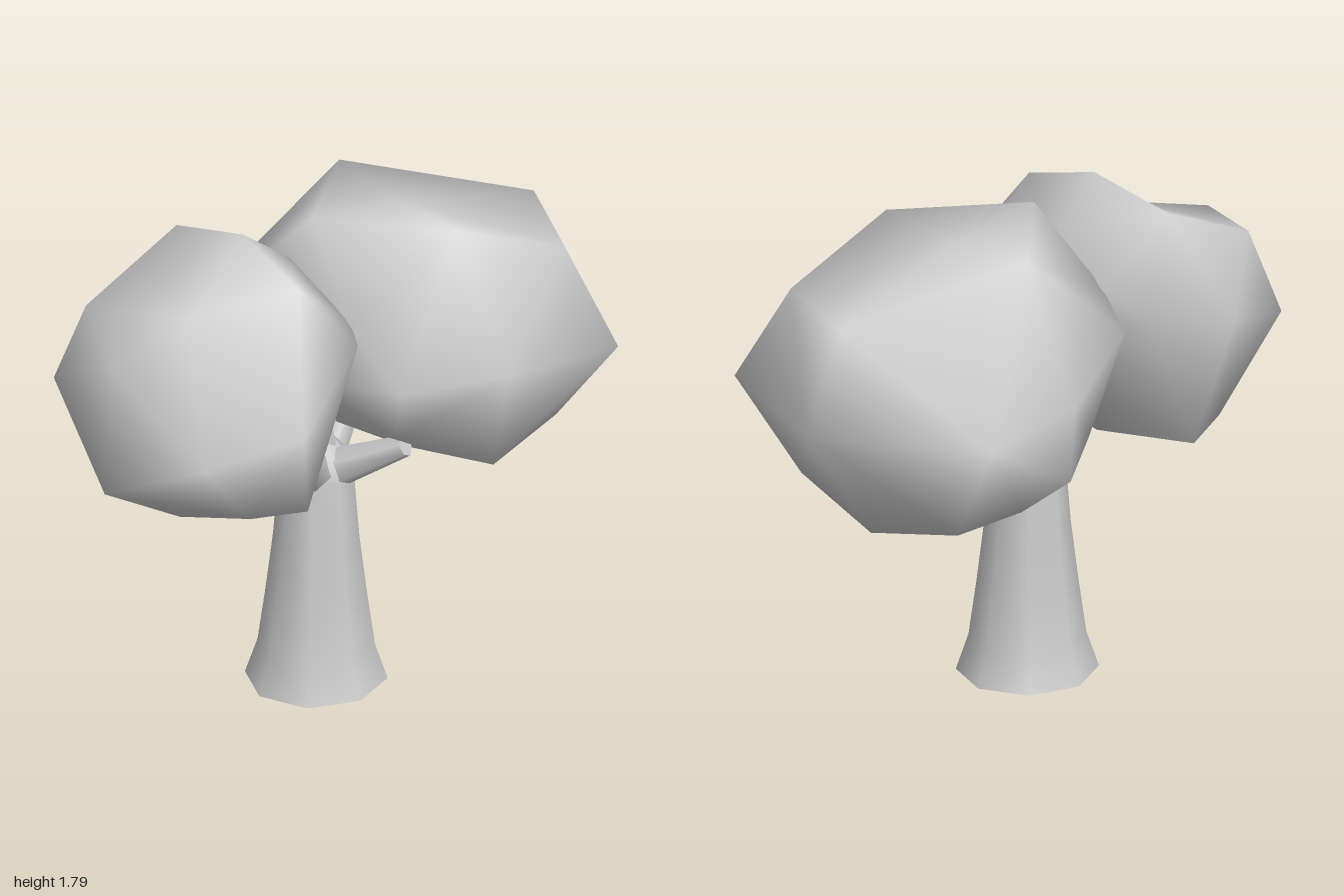
import * as THREE from 'three';
import { mergeVertices } from 'three/addons/utils/BufferGeometryUtils.js';
import { ConvexGeometry } from 'three/addons/geometries/ConvexGeometry.js';

const material = new THREE.MeshStandardMaterial({ color: 0xcccccc, side: THREE.DoubleSide });
const vec = (p) => new THREE.Vector3(...p);

// Low-poly foliage blob: corners are joined up as seen from the centre, so it
// may have dents; the corners share smooth normals
function crown(name, centre, radii, corners) {
  const points = corners.map(vec);
  const directions = points.map((p) => p.clone().sub(vec(centre)).divide(vec(radii)).normalize());
  let geometry = new ConvexGeometry(directions);
  geometry.deleteAttribute('normal');
  const position = geometry.attributes.position;
  const v = new THREE.Vector3();
  for (let i = 0; i < position.count; i++) {
    v.fromBufferAttribute(position, i);
    const corner = points[directions.findIndex((d) => d.distanceTo(v) < 1e-4)];
    position.setXYZ(i, corner.x, corner.y, corner.z);
  }
  geometry = mergeVertices(geometry, 1e-4);
  geometry.computeVertexNormals();
  const mesh = new THREE.Mesh(geometry, material);
  mesh.name = name;
  return mesh;
}

// Tapered six-sided limb between two points
function branch(name, from, to, r0, r1) {
  const a = vec(from), b = vec(to), dir = b.clone().sub(a);
  const mesh = new THREE.Mesh(new THREE.CylinderGeometry(r1, r0, dir.length(), 6), material);
  mesh.position.copy(a).add(b).multiplyScalar(0.5);
  mesh.quaternion.setFromUnitVectors(new THREE.Vector3(0, 1, 0), dir.normalize());
  mesh.name = name;
  return mesh;
}

export function createModel() {
  const tree = new THREE.Group();
  tree.name = 'tree';

  // Flared trunk, open underneath
  const profile = [[0.243, 0], [0.2, 0.13], [0.173, 0.33], [0.147, 0.55], [0.128, 0.8], [0.11, 0.87], [0.04, 0.95]];
  const trunk = new THREE.Mesh(
    new THREE.LatheGeometry(profile.map(([r, y]) => new THREE.Vector2(r, y)), 8), material);
  trunk.position.set(0.012, 0, 0.112);
  trunk.scale.z = 1.03;
  trunk.name = 'trunk';
  tree.add(trunk);

  // Limbs fanning out of the trunk top
  tree.add(
    branch('centreBranch', [0.01, 0.8, 0.11], [0, 1.25, 0.12], 0.09, 0.03),
    branch('frontBranch', [0.03, 0.8, 0.14], [0.22, 1.02, 0.335], 0.08, 0.04),
    branch('leftBranch', [0.03, 0.8, 0.1], [0.3, 0.965, -0.05], 0.08, 0.04),
    branch('backBranch', [0, 0.8, 0.08], [-0.14, 0.95, -0.18], 0.07, 0.04),
  );

  // Smaller crown at the front
  tree.add(crown('frontCrown', [-0.04, 1.28, 0.55], [0.52, 0.5, 0.43], [
    [-0.05, 1.79, 0.385], [-0.36, 1.71, 0.43], [0.25, 1.7, 0.38],     // top
    [-0.05, 1.63, 0.18], [-0.3, 1.5, 0.15], [0.26, 1.5, 0.16],        // back
    [-0.46, 1.42, 0.21], [0.365, 1.47, 0.21], [-0.04, 1.15, 0.16],
    [-0.555, 1.33, 0.55], [0.48, 1.26, 0.54],                         // sides
    [-0.46, 1.226, 0.89], [0.36, 1.2, 0.88],                          // front
    [-0.04, 1.47, 0.975], [-0.04, 0.985, 1.0],
    [-0.37, 1.523, 0.82], [0, 1.57, 0.67],                            // bump and dent
    [-0.04, 0.785, 0.67], [-0.04, 0.81, 0.41],                        // underside
    [-0.4, 0.9, 0.64], [0.29, 0.9, 0.62], [-0.455, 0.87, 0.45], [0.34, 0.88, 0.41],
  ]));

  // Larger crown at the back
  tree.add(crown('backCrown', [0, 1.27, -0.4], [0.6, 0.5, 0.6], [
    [-0.33, 1.745, -0.26], [0.33, 1.745, -0.26], [-0.03, 1.765, 0.1], // top
    [0, 1.72, -0.27],                                                 // dent
    [0.017, 1.575, -0.84], [0.39, 1.568, -0.68],                      // back
    [0.02, 1.22, -1.0], [0.565, 1.22, -0.775], [-0.525, 1.21, -0.65],
    [0.6, 1.285, -0.27], [-0.605, 1.29, -0.32],                       // sides
    [0.49, 1.3, 0.12], [-0.455, 1.4, 0.1],                            // front
    [0.28, 1.5, 0.18], [-0.28, 1.5, 0.17], [0, 1.16, 0.155],
    [-0.02, 0.785, -0.72], [-0.1, 0.78, -0.26],                       // underside
    [0.51, 0.905, -0.27], [-0.43, 0.88, -0.4], [-0.54, 0.985, -0.27],
    [-0.38, 0.865, -0.67], [0.34, 0.89, -0.68], [0.09, 0.82, -0.21],
    [0, 0.95, 0.01], [-0.35, 1.0, 0.03], [0.35, 1.04, 0.03],
  ]));

  return tree;
}
